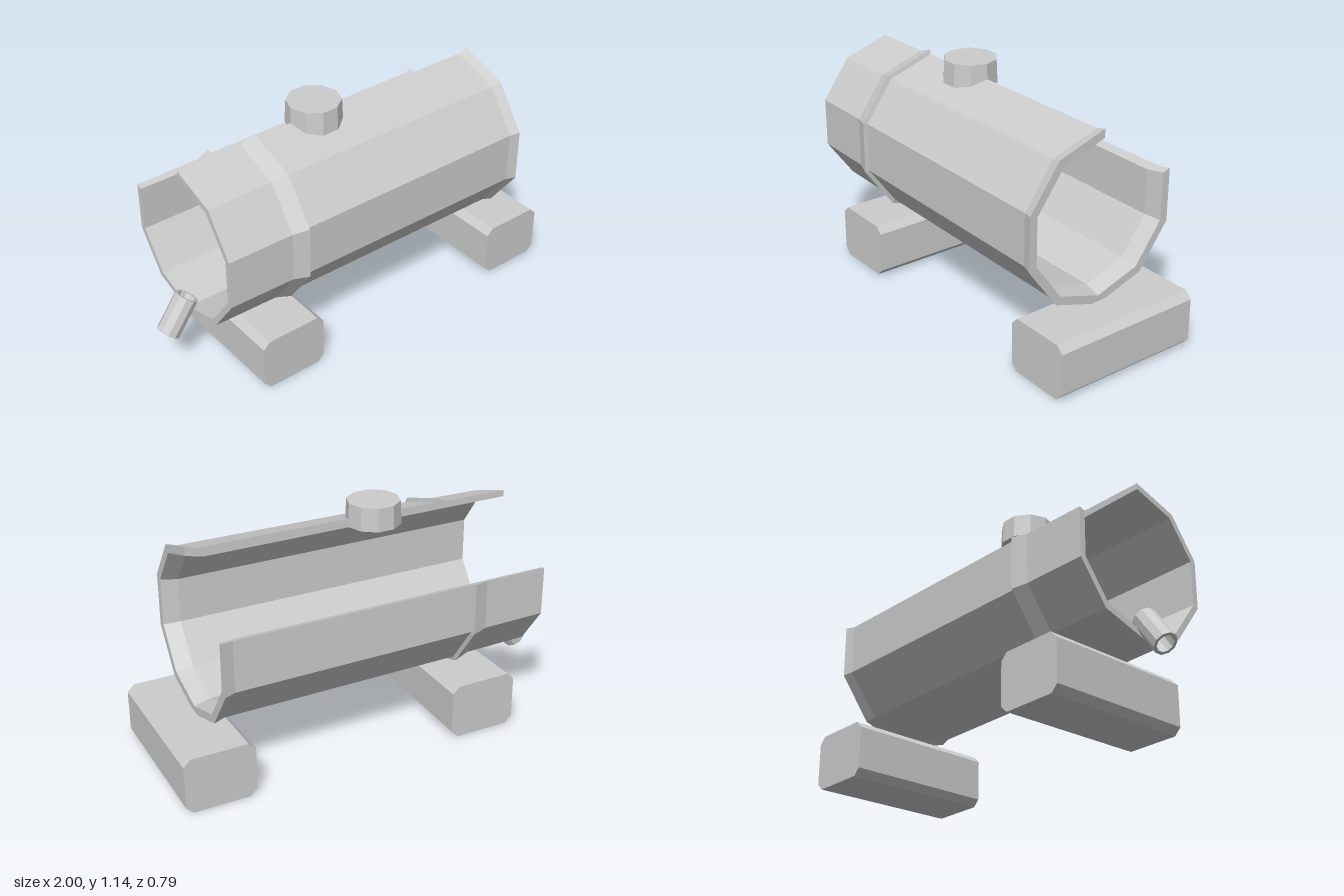
import * as THREE from 'three';

const AXIS_Y = 0.674;      // height of the barrel axis
const STEP = Math.PI / 5;  // ten-sided barrel
const PANELS = 8;          // two panels are left open at the upper back

// Gives every face its own hard-edged normal
function faceted(geometry) {
  const g = geometry.index ? geometry.toNonIndexed() : geometry;
  g.computeVertexNormals();
  return g;
}

// Closed wall section as [x, radius]: outside left to right, then inside back
const WALL = [
  [-0.84, 0.383], [-0.52, 0.388], [-0.445, 0.413], [-0.44, 0.392],
  [0.75, 0.4], [0.8, 0.415],
  [0.8, 0.373], [0.72, 0.353], [-0.84, 0.353],
];

// Sweeps the wall section around the axis, one flat panel per step
function shellGeometry() {
  const n = WALL.length, pos = [], idx = [];
  for (let k = 0; k <= PANELS; k++) {
    for (const [x, r] of WALL) pos.push(x, r * Math.cos(k * STEP), r * Math.sin(k * STEP));
  }
  for (let k = 0; k < PANELS; k++) {
    for (let i = 0; i < n; i++) {
      const j = (i + 1) % n;
      const a = k * n + i, b = a + n, c = (k + 1) * n + j, d = k * n + j;
      idx.push(a, b, c, a, c, d);
    }
  }
  const g = new THREE.BufferGeometry();
  g.setAttribute('position', new THREE.Float32BufferAttribute(pos, 3));
  g.setIndex(idx);
  return g;
}

// Flat face of the wall section; side = -1 mirrors it to face the other way
function cutGeometry(side) {
  const shape = new THREE.Shape(WALL.map(([x, r]) => new THREE.Vector2(x * side, r)));
  const g = new THREE.ShapeGeometry(shape);
  return side < 0 ? g.rotateY(Math.PI) : g;
}

// Chamfered beam, very slightly smaller at its front end
function beamGeometry(w, h, depth, c) {
  const x = w / 2, y = h / 2;
  const shape = new THREE.Shape([
    [-x + c, -y], [x - c, -y], [x, -y + c], [x, y - c],
    [x - c, y], [-x + c, y], [-x, y - c], [-x, -y + c],
  ].map(([px, py]) => new THREE.Vector2(px, py)));
  const g = new THREE.ExtrudeGeometry(shape, { depth, bevelEnabled: false });
  g.translate(0, 0, -depth / 2);
  const p = g.attributes.position;
  for (let i = 0; i < p.count; i++) {
    const s = p.getZ(i) > 0 ? 0.97 : 1;
    p.setXY(i, p.getX(i) * s, p.getY(i) * s);
  }
  return g;
}

export function createModel() {
  const model = new THREE.Group();
  model.name = 'openBarrelOnBeams';
  const grey = new THREE.MeshStandardMaterial({ color: 0xcccccc });
  grey.name = 'light grey';

  const add = (name, geometry, parent = model) => {
    const mesh = new THREE.Mesh(faceted(geometry), grey);
    mesh.name = name;
    parent.add(mesh);
    return mesh;
  };

  // Open barrel with its two cut edges
  const barrel = new THREE.Group();
  barrel.name = 'barrel';
  barrel.position.y = AXIS_Y;
  model.add(barrel);
  add('barrelShell', shellGeometry(), barrel);
  add('topCutEdge', cutGeometry(-1), barrel);
  add('backCutEdge', cutGeometry(1).rotateX(PANELS * STEP), barrel);

  // Filler cap on the top edge
  const cap = new THREE.CylinderGeometry(0.126, 0.131, 0.112, 10);
  cap.rotateY(Math.PI / 2);
  add('fillerCap', cap).position.set(-0.122, 1.086, 0);

  // Hollow drain spout slanting out of the lower end
  const spoutWall = [[0.042, 0], [0.056, 0], [0.056, 0.19], [0.042, 0.19], [0.042, 0]];
  const spout = add('drainSpout', new THREE.LatheGeometry(
    spoutWall.map(([r, y]) => new THREE.Vector2(r, y)), 10));
  spout.position.set(-0.955, 0.232, 0);
  spout.rotation.z = -0.62;

  // Two supporting beams
  for (const [name, x] of [['rightBeam', -0.527], ['leftBeam', 0.83]]) {
    add(name, beamGeometry(0.34, 0.274, 0.745, 0.034)).position.set(x, 0.137, 0);
  }

  return model;
}
